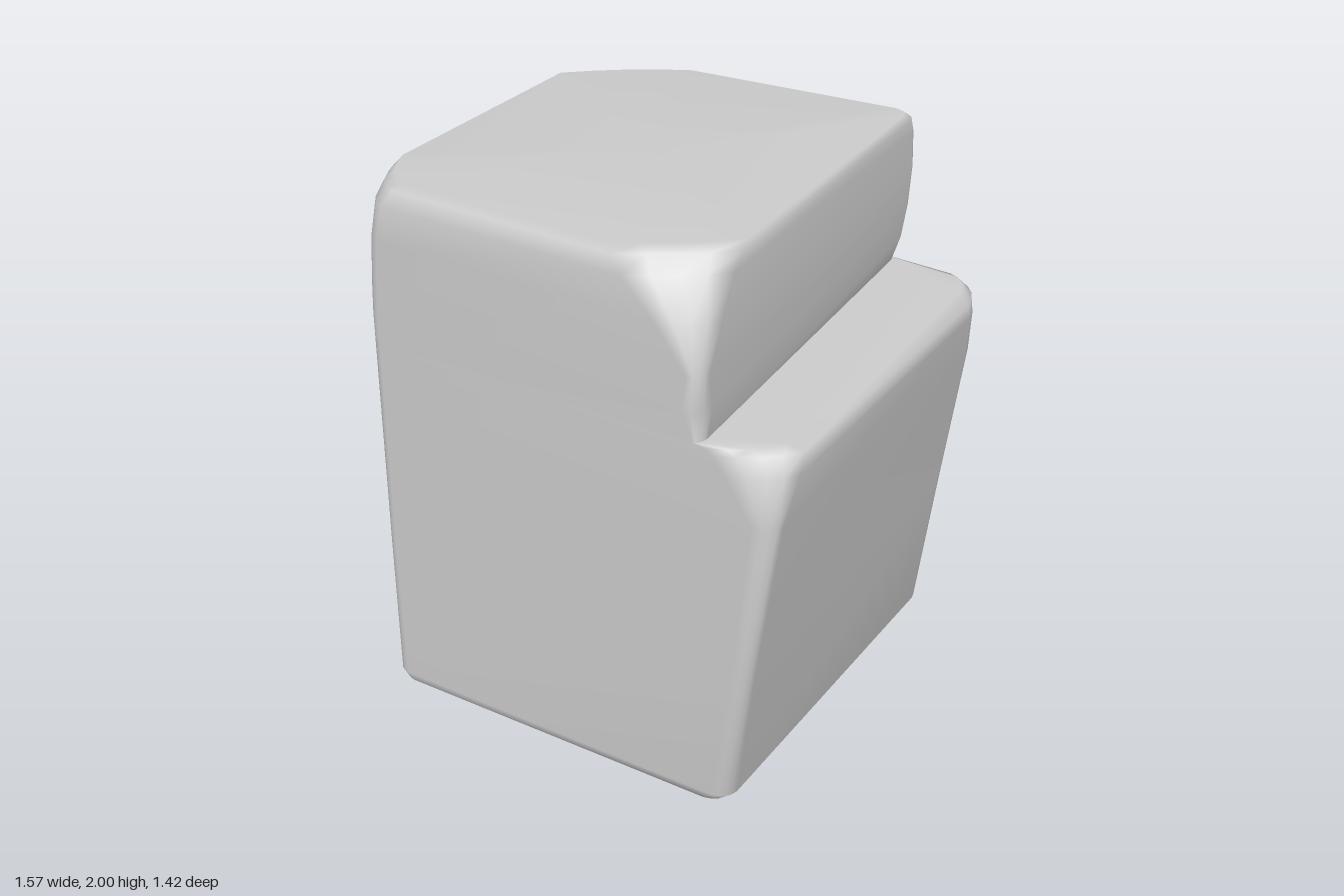
import * as THREE from 'three';

const ARC = 4; // segments in each rounded corner

// One outline at height y: a four-sided loop whose corners are cut by [cx, cz] and rounded.
// xr = [x at the front, x at the back] of the right-hand side.
function outline({ y, xl = -0.79, xr, zf = 0.71, zb = -0.71, fr, br, bl, fl, dip = 0 }) {
  const corners = [
    [xr[0], zf, fr, 0], [xr[1], zb, br, 1], [xl, zb, bl, 0], [xl, zf, fl, 1],
  ];
  const points = [];
  corners.forEach(([x, z, [cx, cz], alongZ], k) => {
    const sx = k < 2 ? -1 : 1, sz = k === 0 || k === 3 ? -1 : 1;
    const onX = new THREE.Vector2(x + sx * cx, z);
    const onZ = new THREE.Vector2(x, z + sz * cz);
    // pull the control point inward so that wide cuts stay nearly flat
    const wide = THREE.MathUtils.clamp((cx + cz) / 0.5, 0, 1);
    const control = new THREE.Vector2(x, z).lerp(onX.clone().add(onZ).multiplyScalar(0.5), 0.85 * wide);
    const curve = alongZ
      ? new THREE.QuadraticBezierCurve(onZ, control, onX)
      : new THREE.QuadraticBezierCurve(onX, control, onZ);
    for (const p of curve.getPoints(ARC)) {
      points.push(new THREE.Vector3(p.x, y - (k === 2 ? dip : 0), p.y));
    }
  });
  return points;
}

// Skin a stack of outlines, optionally closing the bottom or top.
function skin(name, levels, capBottom, capTop) {
  const rings = levels.map(outline);
  const n = rings[0].length;
  const vertices = rings.flat();
  const index = [];
  for (let i = 0; i < rings.length - 1; i++) {
    for (let j = 0; j < n; j++) {
      const a = i * n + j, b = i * n + ((j + 1) % n);
      index.push(a, b, b + n, a, b + n, a + n);
    }
  }
  const cap = (start, y, up) => {
    const c = vertices.push(new THREE.Vector3(-0.1, y, 0.02)) - 1;
    for (let j = 0; j < n; j++) {
      const a = start + j, b = start + ((j + 1) % n);
      index.push(c, up ? a : b, up ? b : a);
    }
  };
  if (capBottom) cap(0, levels[0].y, false);
  if (capTop) cap((rings.length - 1) * n, levels.at(-1).y, true);
  const geometry = new THREE.BufferGeometry().setFromPoints(vertices);
  geometry.setIndex(index);
  geometry.computeVertexNormals();
  const mesh = new THREE.Mesh(geometry, new THREE.MeshStandardMaterial({ color: 0xcccccc }));
  mesh.name = name;
  return mesh;
}

export function createModel() {
  const group = new THREE.Group();
  group.name = 'stoneBlock';

  // outline shared by the ledge and the foot of the upper block
  const seam = {
    y: 1.425, xr: [0.48, 0.42], fr: [0.03, 0.05], br: [0.03, 0.03],
    bl: [0.07, 0.1], fl: [0.04, 0.05],
  };

  // wide base leaning out to the right, closed by the ledge
  group.add(skin('lowerBlock', [
    { y: 0, xl: -0.74, xr: [0.53, 0.53], zf: 0.67, zb: -0.66, fr: [0.07, 0.07], br: [0.06, 0.06], bl: [0.07, 0.07], fl: [0.06, 0.06] },
    { y: 0.02, xl: -0.775, xr: [0.56, 0.56], zf: 0.695, zb: -0.68, fr: [0.07, 0.07], br: [0.06, 0.06], bl: [0.06, 0.06], fl: [0.05, 0.05] },
    { y: 0.06, xr: [0.595, 0.6], zb: -0.695, fr: [0.07, 0.06], br: [0.05, 0.05], bl: [0.05, 0.05], fl: [0.05, 0.05] },
    { y: 0.6, xr: [0.665, 0.67], zb: -0.7, fr: [0.06, 0.05], br: [0.05, 0.06], bl: [0.04, 0.05], fl: [0.04, 0.05] },
    { y: 1.18, xr: [0.745, 0.755], fr: [0.08, 0.06], br: [0.07, 0.09], bl: [0.04, 0.06], fl: [0.04, 0.05] },
    { y: 1.34, xr: [0.76, 0.775], fr: [0.19, 0.13], br: [0.09, 0.12], bl: [0.04, 0.06], fl: [0.04, 0.05] },
    { y: 1.4, xr: [0.75, 0.78], fr: [0.23, 0.17], br: [0.1, 0.15], bl: [0.05, 0.08], fl: [0.04, 0.05] },
    { y: 1.42, xr: [0.7, 0.72], fr: [0.2, 0.16], br: [0.08, 0.1], bl: [0.07, 0.1], fl: [0.04, 0.05] },
    seam,
  ], true, false));

  // narrower top with two broken corners
  group.add(skin('upperBlock', [
    seam,
    { y: 1.52, xr: [0.475, 0.45], fr: [0.06, 0.08], br: [0.03, 0.03], bl: [0.12, 0.12], fl: [0.04, 0.05] },
    { y: 1.65, xr: [0.48, 0.47], fr: [0.05, 0.06], br: [0.03, 0.03], bl: [0.19, 0.16], fl: [0.05, 0.06] },
    { y: 1.8, xr: [0.48, 0.48], fr: [0.16, 0.13], br: [0.03, 0.03], bl: [0.26, 0.2], fl: [0.06, 0.09] },
    { y: 1.93, xr: [0.48, 0.48], fr: [0.28, 0.2], br: [0.04, 0.04], bl: [0.33, 0.24], fl: [0.09, 0.14], dip: 0.02 },
    { y: 1.98, xr: [0.48, 0.48], zf: 0.685, zb: -0.7, fr: [0.33, 0.23], br: [0.05, 0.05], bl: [0.37, 0.26], fl: [0.12, 0.17], dip: 0.04 },
    { y: 2, xl: -0.78, xr: [0.47, 0.46], zf: 0.66, zb: -0.68, fr: [0.35, 0.24], br: [0.05, 0.05], bl: [0.38, 0.26], fl: [0.13, 0.18], dip: 0.04 },
  ], false, true));

  return group;
}
